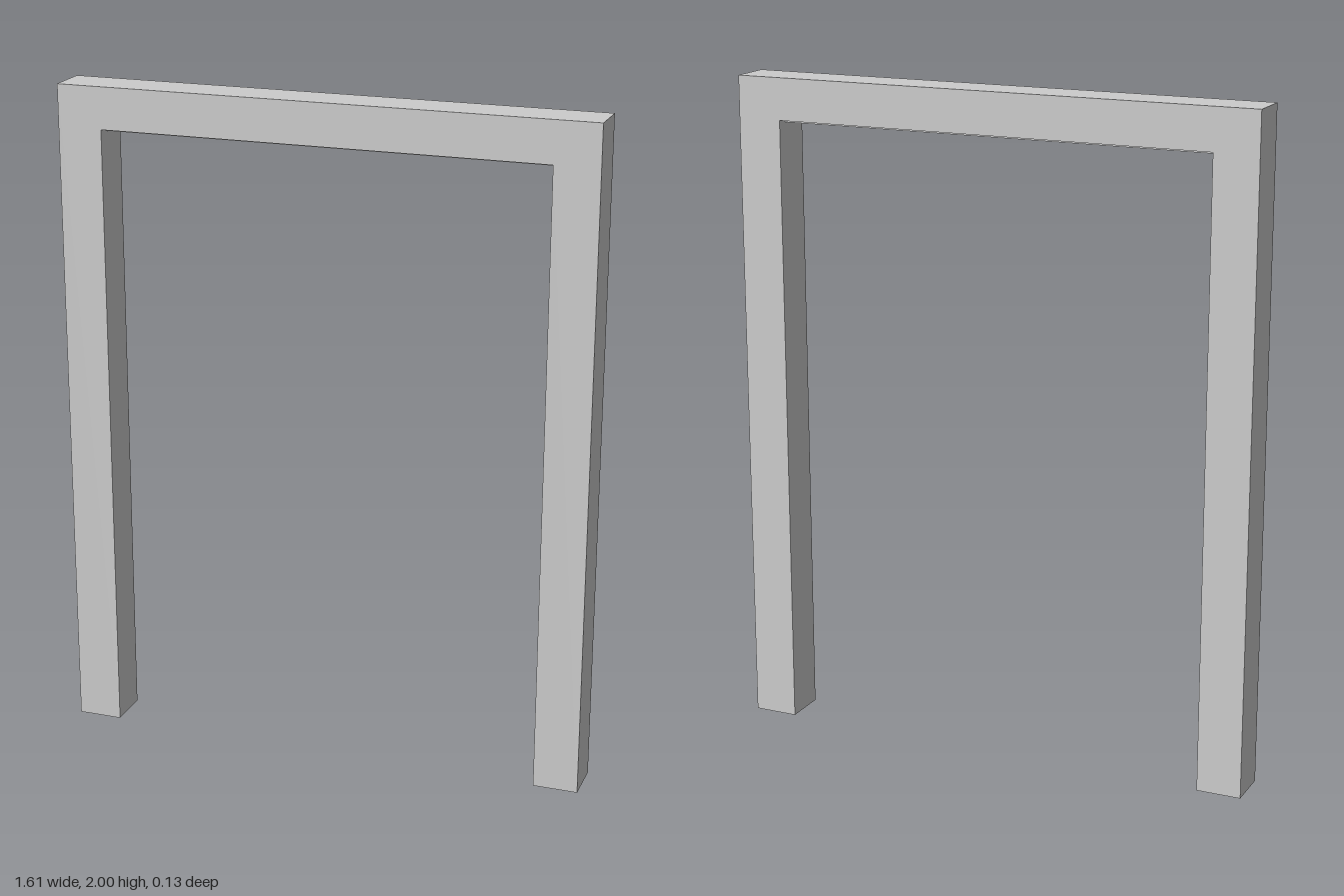
import * as THREE from 'three';

const WIDTH = 1.606, HEIGHT = 2, DEPTH = 0.134;
const POST = 0.134, BEAM = 0.125, STRIP = 0.009;

export function createModel() {
  const group = new THREE.Group();
  const material = new THREE.MeshStandardMaterial({ color: 0xcccccc, flatShading: true });

  // Upright frame outline: two posts joined by a top beam
  const x = WIDTH / 2, inner = x - POST, under = HEIGHT - BEAM;
  const outline = new THREE.Shape([
    [-x, 0], [-inner, 0], [-inner, under], [inner, under],
    [inner, 0], [x, 0], [x, HEIGHT], [-x, HEIGHT],
  ].map(([px, py]) => new THREE.Vector2(px, py)));
  const frameGeometry = new THREE.ExtrudeGeometry(outline, { depth: DEPTH, bevelEnabled: false });
  frameGeometry.translate(0, 0, -DEPTH / 2);
  const frame = new THREE.Mesh(frameGeometry, material);
  frame.name = 'frame';
  group.add(frame);

  // Shallow stop strip along the underside of the beam
  const strip = new THREE.Mesh(new THREE.BoxGeometry(inner * 2, STRIP, 0.07), material);
  strip.name = 'stopStrip';
  strip.position.y = under - STRIP / 2;
  group.add(strip);

  return group;
}
